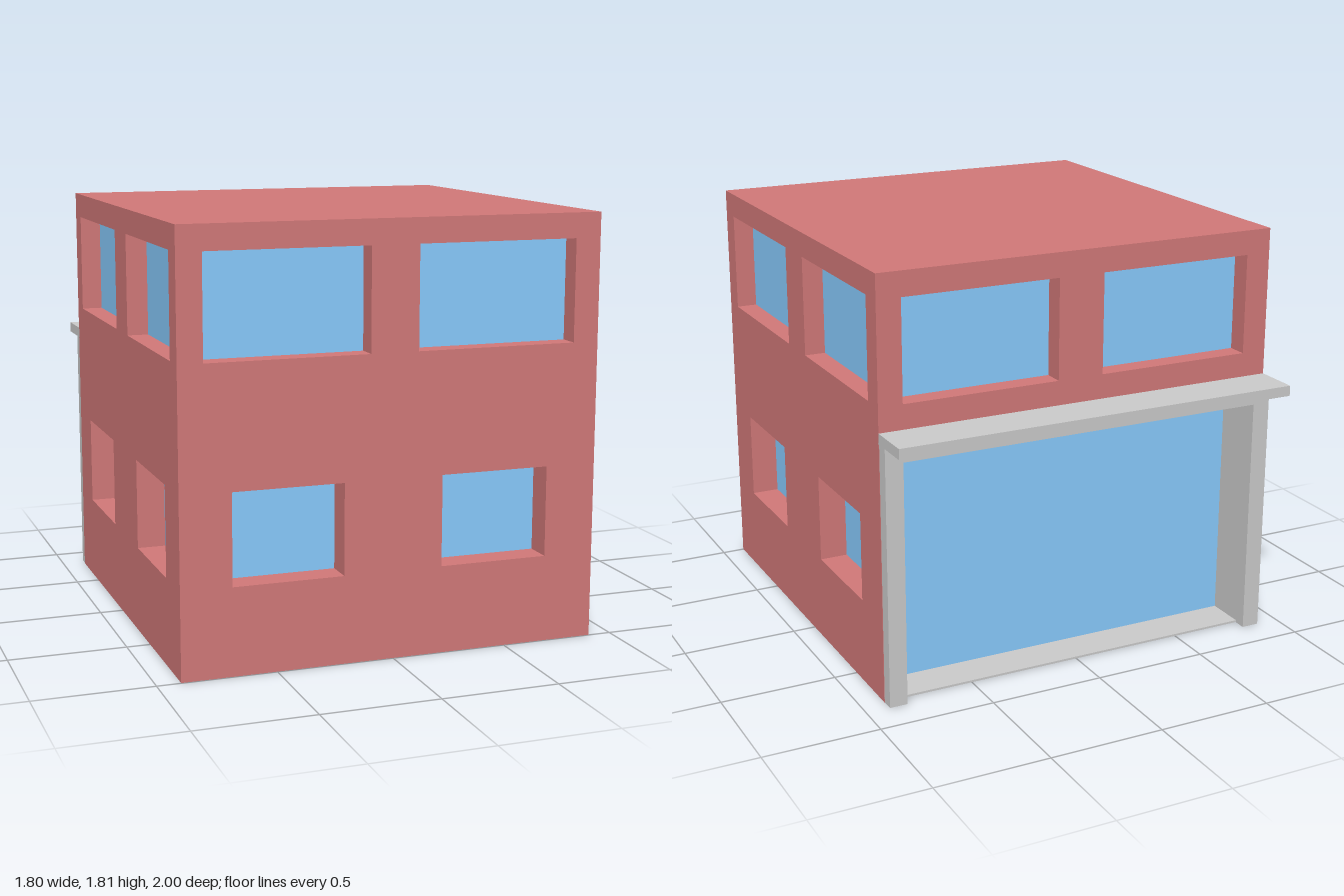
import * as THREE from 'three';

const brick = new THREE.MeshStandardMaterial({ color: 0xd27979 });
const glass = new THREE.MeshStandardMaterial({ color: 0x89ccff });
const grey = new THREE.MeshStandardMaterial({ color: 0xcccccc });

// Box given by its min and max corners
function box(name, mat, [x0, y0, z0], [x1, y1, z1]) {
  const mesh = new THREE.Mesh(new THREE.BoxGeometry(x1 - x0, y1 - y0, z1 - z0), mat);
  mesh.name = name;
  mesh.position.set((x0 + x1) / 2, (y0 + y1) / 2, (z0 + z1) / 2);
  return mesh;
}

function trace(path, points) {
  points.forEach(([u, v], i) => (i ? path.lineTo(u, v) : path.moveTo(u, v)));
  path.closePath();
  return path;
}

// Wall with window openings [u0, u1], its outer face at local z = 0, facing +z
function wall(name, u0, u1, y0, y1, thickness, openings, wy0, wy1) {
  const group = new THREE.Group();
  group.name = name;
  const shape = trace(new THREE.Shape(), [[u0, y0], [u1, y0], [u1, y1], [u0, y1]]);
  for (const [a, b] of openings) {
    shape.holes.push(trace(new THREE.Path(), [[a, wy0], [a, wy1], [b, wy1], [b, wy0]]));
    const e = 0.005;
    group.add(box('windowPane', glass, [a - e, wy0 - e, -thickness - 0.01], [b + e, wy1 + e, -thickness]));
  }
  const geometry = new THREE.ExtrudeGeometry(shape, { depth: thickness, bevelEnabled: false });
  geometry.translate(0, 0, -thickness);
  const mesh = new THREE.Mesh(geometry, brick);
  mesh.name = name + 'Panel';
  group.add(mesh);
  return group;
}

// Place a wall on the left (+x) or right (-x) side of the house
function onSide(w, side) {
  w.position.x = side * 0.9;
  w.rotation.y = side * Math.PI / 2;
  return w;
}

export function createModel() {
  const house = new THREE.Group();
  house.name = 'house';
  const mid = 1.12, eaves = 1.78;
  const t0 = 0.12, t1 = 0.09;

  // Front and back walls
  const wide = [[-0.795, -0.105], [0.1, 0.79]];
  const small = [[-0.685, -0.215], [0.21, 0.68]];
  const lowerFront = wall('lowerFrontWall', -0.9, 0.9, 0, mid, t0, small, 0.37, 0.755);
  const upperFront = wall('upperFrontWall', -0.9, 0.9, mid, eaves, t1, wide, 1.27, 1.7);
  lowerFront.position.z = upperFront.position.z = 1;
  const upperBack = wall('upperBackWall', -0.9, 0.9, mid, eaves, t1, wide, 1.27, 1.7);
  upperBack.rotation.y = Math.PI;
  upperBack.position.z = -0.8;
  house.add(lowerFront, upperFront, upperBack);

  // Side walls, fitted between the front and the back
  const flip = (side, spans) => spans.map(([a, b]) => (side > 0 ? [-b, -a] : [a, b]));
  for (const side of [-1, 1]) {
    const [[l0, l1]] = flip(side, [[-0.625, 1 - t0]]);
    const [[h0, h1]] = flip(side, [[-0.8 + t1, 1 - t1]]);
    const lowerWindows = flip(side, [[-0.585, -0.11], [0.315, 0.79]]);
    const upperWindows = flip(side, [[-0.7, 0], [0.2, 0.9]]);
    house.add(onSide(wall('lowerSideWall', l0, l1, 0, mid, t0, lowerWindows, 0.37, 0.755), side));
    house.add(onSide(wall('upperSideWall', h0, h1, mid, eaves, t1, upperWindows, 1.27, 1.7), side));
    // Thin brick skin over the sides of the entrance frame
    const skin = box('sideCladding', brick, [0.89, 0, -0.8], [0.9, mid, -0.625]);
    skin.position.x *= side;
    house.add(skin);
  }

  // Roof and floor
  house.add(box('roof', brick, [-0.9, eaves, -0.8], [0.9, 1.805, 1]));
  house.add(box('floor', grey, [-0.88, 0.001, -0.8], [0.88, 0.01, 0.98]));
  house.add(box('floorBase', grey, [-0.88, -0.001, -0.62], [0.88, 0.005, 0.98]));

  // Rear entrance: deep frame, large pane and canopy
  const frameShape = trace(new THREE.Shape(), [
    [-0.898, 0], [-0.82, 0], [-0.82, 1.05], [0.82, 1.05],
    [0.82, 0], [0.898, 0], [0.898, mid], [-0.898, mid],
  ]);
  const frame = new THREE.Mesh(
    new THREE.ExtrudeGeometry(frameShape, { depth: 0.23, bevelEnabled: false }), grey);
  frame.name = 'entranceFrame';
  frame.position.z = -0.855;
  house.add(frame);
  house.add(box('entrancePane', glass, [-0.83, 0.005, -0.627], [0.83, 1.06, -0.61]));
  house.add(box('canopy', grey, [-0.9, mid, -1], [0.9, 1.165, -0.795]));

  return house;
}
